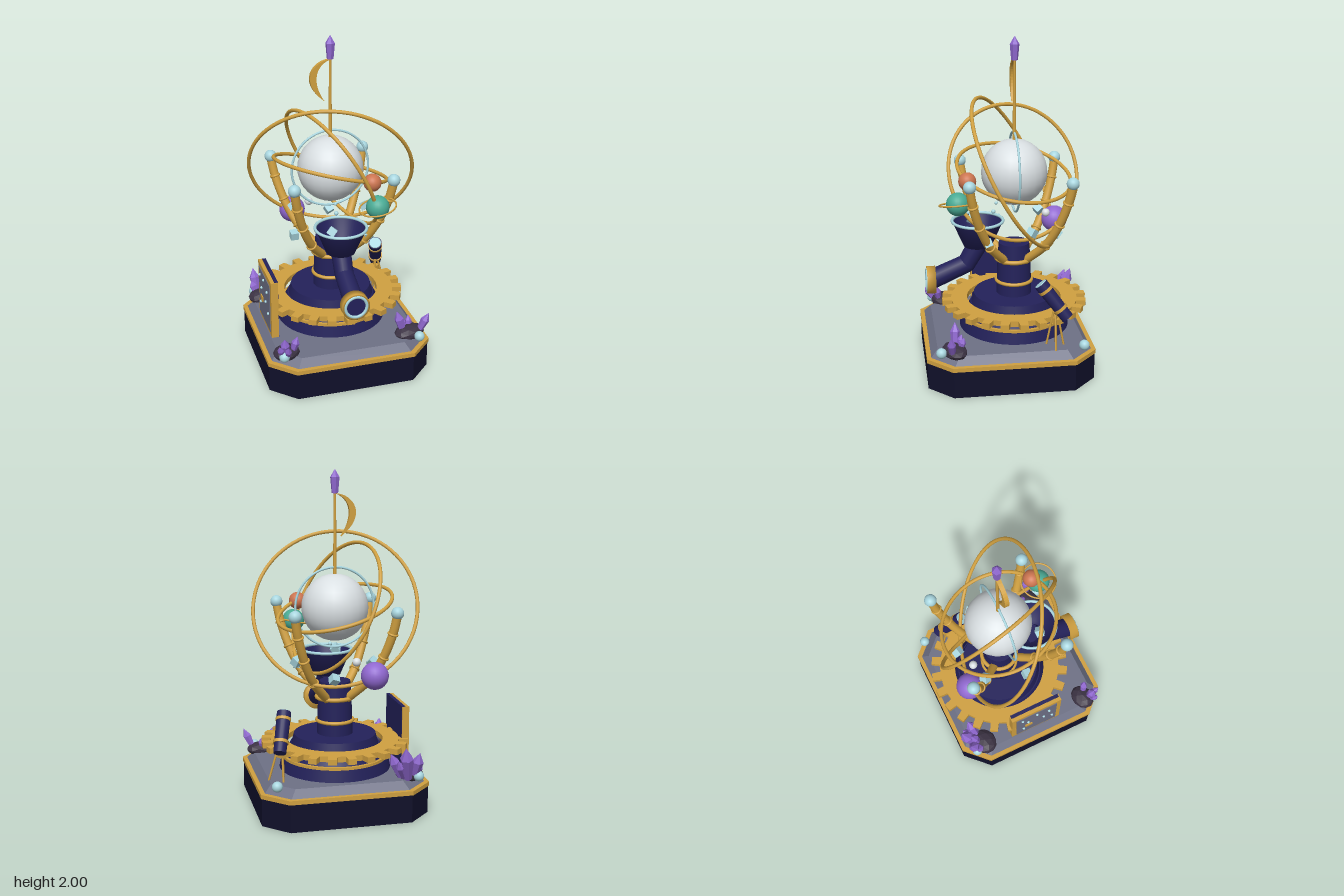
import * as THREE from 'three';

const V = (x, y, z) => new THREE.Vector3(x, y, z);
const CZ = -0.055; // axis of the machine
const CORE = V(0, 1.2, CZ);

export function createModel() {
  const root = new THREE.Group();
  root.name = 'orrery';
  const mat = (name, color) => Object.assign(new THREE.MeshStandardMaterial({ color }), { name });
  const gold = mat('gold', 0xd0a040), navy = mat('navy', 0x23215a), dark = mat('dark navy', 0x10102a);
  const stone = mat('stone', 0x6e7186), ice = mat('pale blue', 0xa8d5de), pearl = mat('pearl', 0xd9dfe2);
  const violet = mat('violet', 0x9068d0), copper = mat('copper', 0xcc7550), jade = mat('jade', 0x4aab95);
  const rock = mat('rock', 0x3c3344);
  navy.side = THREE.DoubleSide;

  const add = (name, geo, material, pos = V(0, 0, 0), parent = root) => {
    const m = new THREE.Mesh(geo, material);
    m.name = name;
    m.position.copy(pos);
    parent.add(m);
    return m;
  };
  const ball = (name, r, material, pos) => add(name, new THREE.SphereGeometry(r, 24, 16), material, pos);
  const box = (name, w, h, d, material, pos) => add(name, new THREE.BoxGeometry(w, h, d), material, pos);
  const aim = (m, dir, from = V(0, 1, 0)) => { m.quaternion.setFromUnitVectors(from, dir.clone().normalize()); return m; };
  const rod = (name, a, b, ra, rb, material, sides = 20) => {
    const d = b.clone().sub(a);
    return aim(add(name, new THREE.CylinderGeometry(rb, ra, d.length(), sides), material, a.clone().lerp(b, 0.5)), d);
  };
  const ring = (name, R, r, material, pos, normal) =>
    aim(add(name, new THREE.TorusGeometry(R, r, 10, 72), material, pos), normal, V(0, 0, 1));
  const lathe = (name, pts, material, pos, sides = 48) =>
    add(name, new THREE.LatheGeometry(pts.map(p => new THREE.Vector2(...p)), sides), material, pos);
  const faceted = (geo) => {
    const g = geo.index ? geo.toNonIndexed() : geo;
    g.computeVertexNormals();
    return g;
  };

  // Eight-sided plinth, gold trim and sloped stone deck
  const slab = (name, half, cut, y0, y1, material, topScale = 1) => {
    const c = half - cut;
    const s = new THREE.Shape([[half, -c], [half, c], [c, half], [-c, half], [-half, c], [-half, -c], [-c, -half], [c, -half]]
      .map(p => new THREE.Vector2(...p)));
    const g = new THREE.ExtrudeGeometry(s, { depth: y1 - y0, bevelEnabled: false });
    g.rotateX(-Math.PI / 2);
    const p = g.attributes.position;
    for (let i = 0; i < p.count; i++)
      if (p.getY(i) > 0.01) p.setXYZ(i, p.getX(i) * topScale, p.getY(i), p.getZ(i) * topScale);
    g.computeVertexNormals();
    add(name, g, material, V(0, y0, 0.005));
  };
  slab('plinth', 0.495, 0.14, 0, 0.167, dark);
  slab('plinthTrim', 0.5, 0.14, 0.165, 0.19, gold);
  slab('stoneDeck', 0.475, 0.13, 0.189, 0.235, stone, 0.915);
  for (const x of [-0.416, 0.416]) for (const z of [-0.413, 0.424]) ball('cornerBall', 0.031, ice, V(x, 0.25, z));

  // Stepped drum and column
  const axis = V(0, 0, CZ);
  add('drumFoot', new THREE.CylinderGeometry(0.32, 0.335, 0.075, 48), navy, V(0, 0.265, CZ));
  add('drumBand', new THREE.CylinderGeometry(0.318, 0.318, 0.023, 48), gold, V(0, 0.307, CZ));
  add('drumUpper', new THREE.CylinderGeometry(0.268, 0.3, 0.062, 48), navy, V(0, 0.349, CZ));
  add('drumLid', new THREE.CylinderGeometry(0.245, 0.262, 0.065, 48), navy, V(0, 0.4075, CZ));
  add('columnLower', new THREE.CylinderGeometry(0.1, 0.107, 0.23, 32), navy, V(0, 0.55, CZ));
  add('columnUpper', new THREE.CylinderGeometry(0.092, 0.1, 0.1, 32), navy, V(0, 0.71, CZ));
  ring('columnBand', 0.107, 0.011, gold, V(0, 0.52, CZ), V(0, 1, 0));
  ring('columnCollar', 0.108, 0.013, gold, V(0, 0.662, CZ), V(0, 1, 0));

  // Toothed gear ring
  const gear = new THREE.Shape();
  const teeth = 24, step = Math.PI * 2 / teeth;
  for (let i = 0; i < teeth; i++)
    [[0.385, -0.27], [0.441, -0.21], [0.441, 0.21], [0.385, 0.27]].forEach(([r, f], k) => {
      const a = (i + f) * step;
      gear[i + k ? 'lineTo' : 'moveTo'](r * Math.cos(a), r * Math.sin(a));
    });
  gear.closePath();
  gear.holes.push(new THREE.Path().absarc(0, 0, 0.288, 0, Math.PI * 2, true));
  const gearGeo = new THREE.ExtrudeGeometry(gear, { depth: 0.033, bevelEnabled: false, curveSegments: 48 });
  add('gear', gearGeo.rotateX(-Math.PI / 2), gold, V(0, 0.375, CZ));

  // Four curved arms with ball tips
  for (const sx of [-1, 1]) for (const sz of [-1, 1]) {
    const path = new THREE.CatmullRomCurve3([[0.06, 0.66], [0.165, 0.79], [0.232, 0.935], [0.275, 1.08], [0.295, 1.19]]
      .map(([d, y]) => V(d * sx, y, CZ + d * sz)));
    add('arm', new THREE.TubeGeometry(path, 24, 0.026, 12), gold);
    for (const t of [0.3, 0.58, 0.82]) ring('armBand', 0.026, 0.007, gold, path.getPointAt(t), path.getTangentAt(t));
    ball('armTip', 0.037, ice, V(0.295 * sx, 1.2, CZ + 0.295 * sz));
  }

  // Central globe, halo and orbits
  ball('globe', 0.197, pearl, CORE);
  ring('halo', 0.236, 0.007, ice, CORE, V(0, 0, 1));
  ring('outerOrbit', 0.484, 0.011, gold, CORE, V(0.27, 0.478, -0.834));
  ring('middleOrbit', 0.41, 0.011, gold, CORE, V(0.866, 0.43, -0.26));
  ring('innerOrbit', 0.343, 0.011, gold, CORE, V(0.25, 0.955, -0.15));
  ball('copperPlanet', 0.052, copper, V(0.165, 1.2, 0.24));
  ball('jadePlanet', 0.068, jade, V(0.18, 1.07, 0.297));
  ring('planetRing', 0.107, 0.005, gold, V(0.18, 1.07, 0.297), V(-0.2, 0.97, 0.05));
  ball('violetPlanet', 0.08, violet, V(-0.17, 0.84, -0.33));
  ball('moon', 0.025, pearl, V(-0.08, 0.91, -0.262));

  // Floating cubes circling the column
  for (let i = 0; i < 6; i++) {
    const a = (44 + i * 60) * Math.PI / 180;
    const c = box('floatingCube', 0.047, 0.047, 0.047, ice,
      V(0.255 * Math.cos(a), i % 2 ? 0.9 : 0.825, CZ + 0.255 * Math.sin(a)));
    c.rotation.set(0.4 + i * 0.5, i * 0.8, 0.4);
  }

  // Crystal: six-sided shaft with a pointed tip
  const crystal = (base, tip, r, foot = 0.6) => {
    const d = tip.clone().sub(base), L = d.length();
    const pts = [[0, 0], [r * foot, 0], [r, L * 0.66], [0, L]].map(p => new THREE.Vector2(...p));
    aim(add('crystal', faceted(new THREE.LatheGeometry(pts, 6)), violet, base), d);
  };

  // Mast with crescent and finial
  rod('mast', V(0, 1.38, CZ), V(0, 1.87, CZ), 0.011, 0.007, gold, 12);
  crystal(V(0, 1.862, CZ), V(0, 2, CZ), 0.028, 0.7);
  const moonShape = new THREE.Shape();
  moonShape.moveTo(0, 1.862);
  moonShape.bezierCurveTo(-0.1, 1.86, -0.2, 1.74, -0.035, 1.615);
  moonShape.bezierCurveTo(-0.11, 1.72, -0.1, 1.83, 0, 1.862);
  add('crescent', new THREE.ExtrudeGeometry(moonShape, { depth: 0.025, bevelEnabled: false, curveSegments: 16 }),
    gold, V(0, 0, CZ - 0.0125));

  // Funnel, bent pipe and viewing port
  lathe('funnel', [[0, 0.75], [0.085, 0.75], [0.152, 0.905]], navy, V(0, 0, 0.165));
  ring('funnelRim', 0.152, 0.009, ice, V(0, 0.906, 0.165), V(0, 1, 0));
  const knee = V(0, 0.635, 0.235);
  rod('pipeUpper', knee, V(0, 0.765, 0.16), 0.056, 0.06, navy);
  rod('pipeLower', V(0, 0.545, 0.44), knee, 0.06, 0.056, navy);
  ball('pipeKnee', 0.056, navy, knee);
  const out = V(0, 0, 1);
  aim(lathe('portCollar', [[0, 0], [0.083, 0], [0.083, 0.052], [0.066, 0.052], [0.066, 0.03]], gold, V(0, 0.54, 0.424)), out);
  ring('portRim', 0.064, 0.009, ice, V(0, 0.54, 0.474), out);
  aim(add('portGlass', new THREE.CylinderGeometry(0.062, 0.062, 0.02, 32), navy, V(0, 0.54, 0.46)), out);
  ball('droplet', 0.013, ice, V(0, 0.957, 0.07));
  ball('droplet', 0.01, ice, V(0, 1.01, 0.053));

  // Star board standing at the right side
  box('boardFrame', 0.043, 0.37, 0.34, gold, V(-0.4085, 0.415, 0));
  box('boardBack', 0.022, 0.372, 0.328, navy, V(-0.396, 0.417, 0));
  box('boardFace', 0.006, 0.31, 0.28, stone, V(-0.431, 0.415, 0));
  for (const [y, z] of [[0.54, 0], [0.5, 0.085], [0.46, -0.06], [0.42, 0.05], [0.37, 0.11], [0.35, -0.09], [0.53, -0.1]])
    ball('boardStar', 0.009, ice, V(-0.437, y, z));

  // Telescope on a tripod
  const eye = V(0.328, 0.612, -0.165), end = V(0.383, 0.415, -0.315);
  const at = t => eye.clone().lerp(end, t);
  rod('telescope', eye, end, 0.042, 0.037, navy);
  rod('telescopeLens', at(-0.015), at(0.02), 0.036, 0.04, ice);
  for (const t of [0.15, 0.7]) rod('telescopeBand', at(t), at(t + 0.07), 0.045, 0.044, gold);
  for (const [x, z] of [[0.34, -0.2], [0.435, -0.24], [0.36, -0.3]])
    rod('tripodLeg', at(0.55), V(x, 0.232, z), 0.007, 0.006, gold, 8);

  // Corner rocks with crystal clusters: rock centre, rock size, tips with radius
  const clusters = [
    [[-0.39, 0.245, 0.365], [0.083, 0.045, 0.068], [[-0.415, 0.37, 0.43, 0.028], [-0.33, 0.36, 0.4, 0.024],
      [-0.45, 0.33, 0.44, 0.02], [-0.4, 0.33, 0.47, 0.02]]],
    [[0.38, 0.245, 0.345], [0.1, 0.042, 0.07], [[0.3, 0.39, 0.335, 0.029], [0.39, 0.33, 0.29, 0.022],
      [0.49, 0.37, 0.375, 0.026], [0.34, 0.33, 0.3, 0.02]]],
    [[-0.38, 0.245, -0.345], [0.085, 0.045, 0.075], [[-0.32, 0.44, -0.47, 0.04], [-0.41, 0.4, -0.45, 0.034],
      [-0.25, 0.39, -0.4, 0.032], [-0.35, 0.4, -0.42, 0.03], [-0.28, 0.36, -0.45, 0.028], [-0.43, 0.33, -0.41, 0.025]]],
  ];
  for (const [c, s, tips] of clusters) {
    const r = add('rock', faceted(new THREE.IcosahedronGeometry(1, 1).scale(...s)), rock, V(...c));
    r.rotation.y = 0.3;
    for (const [x, y, z, w] of tips)
      crystal(V(c[0] + (x - c[0]) * 0.45, 0.235, c[2] + (z - c[2]) * 0.45), V(x, y, z), w);
  }
  return root;
}
